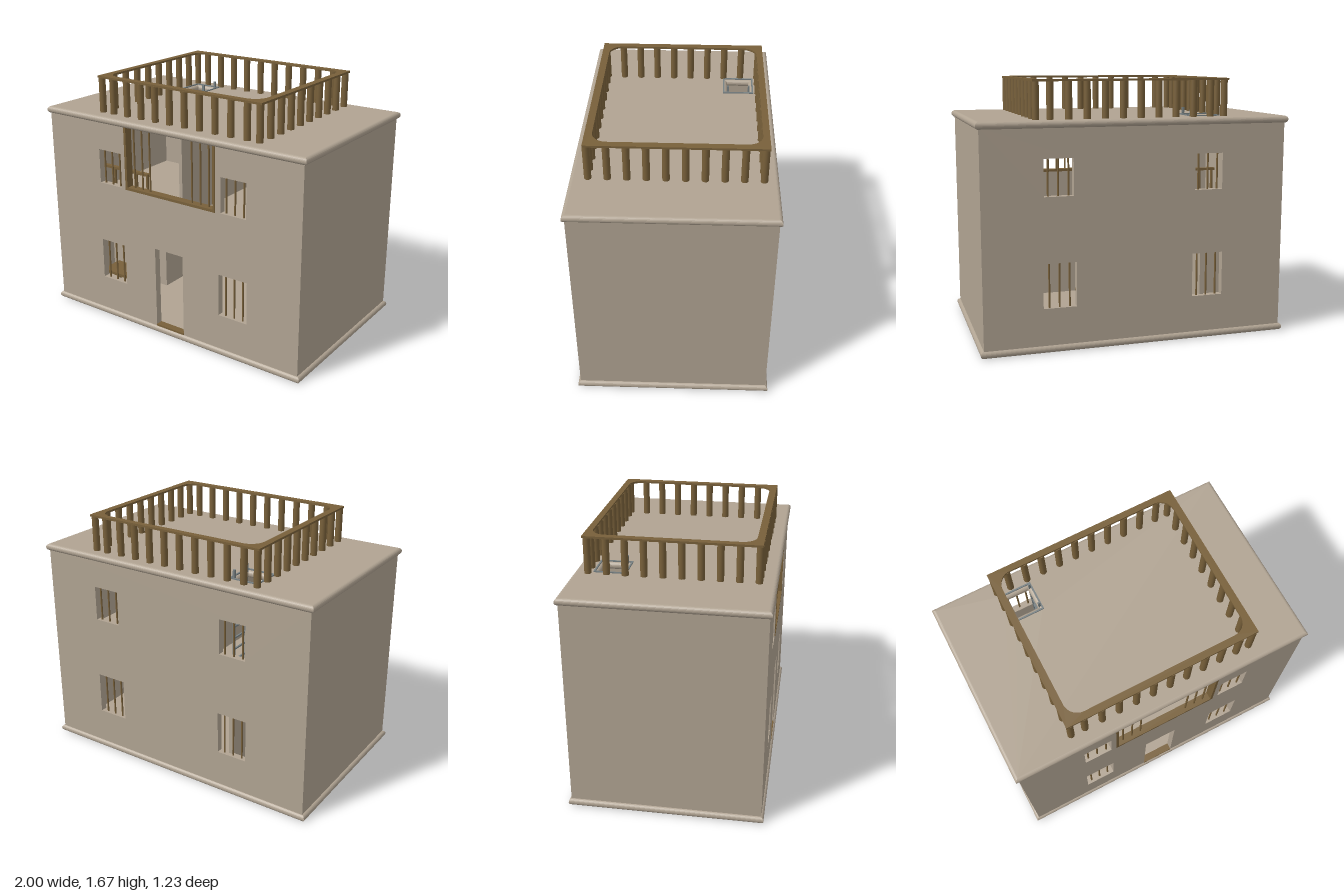
import * as THREE from 'three';

const wallMat = new THREE.MeshStandardMaterial({ color: 0xb0a392 });
const woodMat = new THREE.MeshStandardMaterial({ color: 0x78603a });
const metalMat = new THREE.MeshStandardMaterial({ color: 0x778082 });

// Rectangle outline between two corners
function rect(x0, x1, y0, y1, Type = THREE.Shape) {
  return new Type([[x0, y0], [x1, y0], [x1, y1], [x0, y1]].map(([x, y]) => new THREE.Vector2(x, y)));
}

function roundedHole(x0, x1, y0, y1, r) {
  const p = new THREE.Path();
  p.absarc(x1 - r, y1 - r, r, 0, Math.PI / 2);
  p.absarc(x0 + r, y1 - r, r, Math.PI / 2, Math.PI);
  p.absarc(x0 + r, y0 + r, r, Math.PI, Math.PI * 1.5);
  p.absarc(x1 - r, y0 + r, r, Math.PI * 1.5, Math.PI * 2);
  p.closePath();
  return p;
}

export function createModel() {
  const house = new THREE.Group();
  house.name = 'house';

  const add = (name, geometry, material, parent = house) => {
    const mesh = new THREE.Mesh(geometry, material);
    mesh.name = name;
    parent.add(mesh);
    return mesh;
  };
  const group = (name) => {
    const g = new THREE.Group();
    g.name = name;
    house.add(g);
    return g;
  };
  // Box given by its limits on each axis
  const box = (name, x0, x1, y0, y1, z0, z1, material, parent) => {
    const mesh = add(name, new THREE.BoxGeometry(x1 - x0, y1 - y0, z1 - z0), material, parent);
    mesh.position.set((x0 + x1) / 2, (y0 + y1) / 2, (z0 + z1) / 2);
    return mesh;
  };
  const post = (name, x, y0, y1, z, r, material, parent) => {
    const mesh = add(name, new THREE.CylinderGeometry(r, r, y1 - y0, 16), material, parent);
    mesh.position.set(x, (y0 + y1) / 2, z);
  };

  // Base and roof slabs with half-round edges
  const slab = (name, y, hole) => {
    const r = 0.0225;
    const shape = rect(-1 + r, 1 - r, -0.615 + r, 0.615 - r);
    if (hole) shape.holes.push(hole);
    const geo = new THREE.ExtrudeGeometry(shape, {
      depth: 0.001, bevelThickness: r, bevelSize: r, bevelSegments: 6,
    });
    geo.rotateX(-Math.PI / 2);
    add(name, geo, wallMat).position.y = y + r;
  };
  slab('baseSlab', 0);
  // Shape y becomes -z once the slab lies flat
  slab('roofSlab', 1.38, rect(-0.565, -0.38, 0.3, 0.49, THREE.Path));

  // Front and back walls with openings
  const windows = [
    [-0.565, -0.36, 0.28, 0.56], [0.4, 0.61, 0.28, 0.56],
    [-0.555, -0.37, 0.97, 1.2], [0.415, 0.6, 0.97, 1.2],
  ];
  const thick = 0.045;
  const wall = (name, z, openings) => {
    const shape = rect(-0.98, 0.98, 0.03, 1.395);
    for (const o of openings) shape.holes.push(rect(...o, THREE.Path));
    add(name, new THREE.ExtrudeGeometry(shape, { depth: thick, bevelEnabled: false }), wallMat).position.z = z;
  };
  wall('frontWall', 0.6 - thick, [...windows, [-0.105, 0.12, 0.05, 0.605], [-0.335, 0.375, 0.97, 1.385]]);
  wall('backWall', -0.6, windows);
  for (const s of [-1, 1]) {
    const x = s * (0.98 - thick / 2);
    box('sideWall', x - thick / 2, x + thick / 2, 0.03, 1.395, -0.56, 0.56, wallMat);
  }

  // Window bars, three per opening
  const bars = group('windowBars');
  for (const [x0, x1, y0, y1] of windows) {
    for (const z of [-0.578, 0.578]) {
      for (const i of [-1, 0, 1]) post('windowBar', (x0 + x1) / 2 + i * 0.064, y0, y1, z, 0.006, woodMat, bars);
    }
  }

  // Large upper opening: wooden frame and two sets of bars
  const frame = group('balconyFrame');
  box('frameSill', -0.335, 0.375, 0.965, 0.982, 0.55, 0.604, woodMat, frame);
  box('frameSide', -0.335, -0.318, 0.982, 1.385, 0.55, 0.604, woodMat, frame);
  box('frameSide', 0.358, 0.375, 0.982, 1.385, 0.55, 0.604, woodMat, frame);
  for (const x of [-0.275, -0.21, -0.148, 0.185, 0.25, 0.313]) {
    post('balconyBar', x, 0.98, 1.385, 0.575, 0.006, woodMat, frame);
  }

  box('doorThreshold', -0.105, 0.12, 0.04, 0.056, 0.555, 0.602, woodMat);

  // Upper floor and partitions
  box('upperFloor', -0.95, 0.95, 0.7, 0.745, -0.57, 0.57, wallMat);
  box('upperPartition', -0.085, -0.06, 0.745, 1.385, -0.57, 0.36, wallMat);
  box('closetSide', -0.45, -0.425, 0.04, 0.7, -0.57, 0.1, wallMat);
  box('closetFront', -0.95, -0.425, 0.04, 0.7, 0.075, 0.1, wallMat);

  // Low table below, railing above, behind the front windows
  const table = group('table');
  box('tableTop', -0.75, -0.48, 0.2, 0.22, 0.25, 0.42, woodMat, table);
  for (const x of [-0.735, -0.495]) {
    for (const z of [0.265, 0.405]) post('tableLeg', x, 0.04, 0.2, z, 0.01, woodMat, table);
  }
  const rail = group('indoorRailing');
  box('indoorHandrail', -0.9, -0.38, 0.965, 0.982, 0.3, 0.33, woodMat, rail);
  for (let i = 0; i < 6; i++) post('indoorBaluster', -0.88 + i * 0.097, 0.74, 0.97, 0.315, 0.01, woodMat, rail);

  // Ladder rising through the roof hatch
  const ladder = group('ladder');
  for (const z of [-0.465, -0.325]) box('ladderRail', -0.397, -0.383, 0.74, 1.475, z - 0.006, z + 0.006, metalMat, ladder);
  for (let i = 0; i < 9; i++) {
    const y = 0.8 + i * 0.075;
    box('rung', -0.395, -0.385, y, y + 0.01, -0.465, -0.325, metalMat, ladder);
  }

  // Thin rim round the hatch
  const rim = rect(-0.572, -0.373, 0.293, 0.497);
  rim.holes.push(rect(-0.562, -0.383, 0.303, 0.487, THREE.Path));
  const rimGeo = new THREE.ExtrudeGeometry(rim, { depth: 0.05, bevelEnabled: false });
  rimGeo.rotateX(-Math.PI / 2);
  add('hatchRim', rimGeo, metalMat).position.y = 1.383;

  // Roof balustrade
  const roofRail = group('roofBalustrade');
  const top = rect(-0.61, 0.65, -0.525, 0.55);
  top.holes.push(roundedHole(-0.565, 0.605, -0.48, 0.51, 0.09));
  const topGeo = new THREE.ExtrudeGeometry(top, { depth: 0.013, bevelEnabled: false, curveSegments: 10 });
  topGeo.rotateX(-Math.PI / 2);
  add('roofHandrail', topGeo, woodMat, roofRail).position.y = 1.653;

  const baluster = (x, z) => post('roofBaluster', x, 1.42, 1.655, z, 0.022, woodMat, roofRail);
  const xs = [-0.587];
  for (let i = 0; i < 10; i++) xs.push(-0.495 + i * 0.115);
  xs.push(0.628);
  for (const x of xs) for (const z of [-0.526, 0.507]) baluster(x, z);
  for (let i = 1; i < 9; i++) for (const x of [-0.587, 0.628]) baluster(x, 0.507 - i * 0.1148);

  return house;
}
